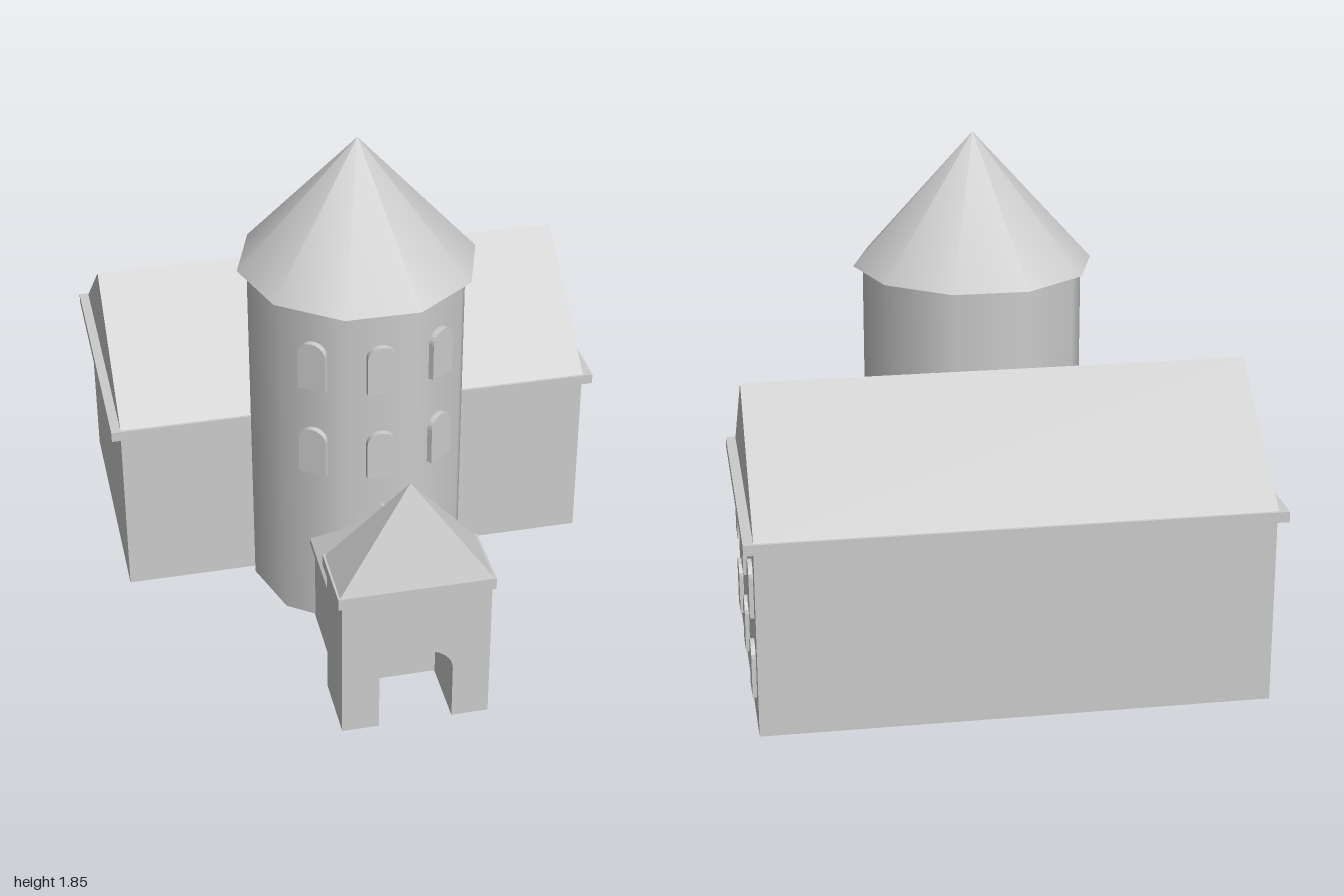
import * as THREE from 'three';

const material = new THREE.MeshStandardMaterial({ color: 0xcccccc, side: THREE.DoubleSide });

export function createModel() {
  const model = new THREE.Group();

  const add = (name, geometry, x = 0, y = 0, z = 0, rotY = 0, parent = model) => {
    const mesh = new THREE.Mesh(geometry, material);
    mesh.name = name;
    mesh.position.set(x, y, z);
    mesh.rotation.y = rotY;
    parent.add(mesh);
    return mesh;
  };

  // Box given by its limits; walls are left open underneath
  const box = (name, x, y0, y1, z0, z1, openBottom = false) => {
    const g = new THREE.BoxGeometry(2 * x, y1 - y0, z1 - z0);
    if (openBottom) {
      g.setIndex(Array.from(g.index.array).filter((_, i) => i < 18 || i > 23));
      g.clearGroups();
    }
    return add(name, g, 0, (y0 + y1) / 2, (z0 + z1) / 2);
  };

  // Triangular prism, ridge along local z
  const gable = (halfWidth, height, length) => {
    const s = new THREE.Shape();
    s.moveTo(-halfWidth, 0);
    s.lineTo(halfWidth, 0);
    s.lineTo(0, height);
    s.closePath();
    return new THREE.ExtrudeGeometry(s, { depth: length, bevelEnabled: false });
  };

  // Raised window panel with an arched head, standing on its sill
  const windowPanel = (w, h, rise) => {
    const s = new THREE.Shape();
    s.moveTo(-w / 2, 0);
    s.lineTo(w / 2, 0);
    s.lineTo(w / 2, h - rise);
    s.absellipse(0, h - rise, w / 2, rise, 0, Math.PI, false, 0);
    s.closePath();
    return new THREE.ExtrudeGeometry(s, { depth: 0.025, bevelEnabled: false, curveSegments: 5 });
  };

  // Main hall
  box('hallWalls', 0.89, 0.02, 0.7, -0.975, 0.01, true);
  box('hallCornice', 0.925, 0.695, 0.733, -1, 0.03);
  add('hallRoof', gable(0.505, 0.385, 1.78), -0.89, 0.733, -0.485, Math.PI / 2);
  const hallWindow = windowPanel(0.11, 0.19, 0.045);
  for (const y of [0.13, 0.425])
    for (const z of [-0.16, -0.485, -0.845])
      add('hallWindow', hallWindow, 0.88, y, z, Math.PI / 2);

  // Ten-sided tower with a flat side to the front
  const towerZ = 0.037;
  const start = Math.PI / 10;
  add('towerWall', new THREE.CylinderGeometry(0.405, 0.405, 1.355, 10, 1, true, start), 0, 0.6925, towerZ);
  add('towerRoof', new THREE.ConeGeometry(0.44, 0.485, 10, 1, false, start), 0, 1.6075, towerZ);
  const towerWindow = windowPanel(0.105, 0.19, 0.045);
  for (const y of [0.68, 1.04])
    for (const i of [-1, 0, 1]) {
      const a = (i * Math.PI) / 5;
      add('towerWindow', towerWindow, Math.sin(a) * 0.382, y, towerZ + Math.cos(a) * 0.382, a);
    }

  // Passage between the tower and the gatehouse
  box('passageWalls', 0.23, 0.005, 0.345, 0.11, 0.75, true);
  box('passageCornice', 0.245, 0.34, 0.365, 0.11, 0.75);
  add('passageRoof', gable(0.245, 0.19, 0.64), 0, 0.365, 0.11);
  const passageWindow = windowPanel(0.075, 0.13, 0.035);
  for (const z of [0.405, 0.545, 0.69])
    add('passageWindow', passageWindow, 0.217, 0.14, z, Math.PI / 2);

  // Gatehouse with an arched opening
  const gate = new THREE.Shape();
  gate.moveTo(-0.267, 0);
  gate.lineTo(-0.133, 0);
  gate.lineTo(-0.133, 0.22);
  gate.absellipse(0, 0.22, 0.133, 0.097, Math.PI, 0, true, 0);
  gate.lineTo(0.133, 0);
  gate.lineTo(0.267, 0);
  gate.lineTo(0.267, 0.56);
  gate.lineTo(-0.267, 0.56);
  gate.closePath();
  add('gateWalls', new THREE.ExtrudeGeometry(gate, { depth: 0.25, bevelEnabled: false, curveSegments: 7 }), 0, 0, 0.745);
  box('gateCornice', 0.28, 0.55, 0.595, 0.737, 1);

  // Four-sided roof stretched over the gatehouse
  const pyramid = new THREE.ConeGeometry(Math.SQRT1_2, 1, 4, 1, false, Math.PI / 4).toNonIndexed();
  pyramid.computeVertexNormals();
  add('gateRoof', pyramid, 0, 0.7725, 0.869).scale.set(0.545, 0.355, 0.25);

  return model;
}
